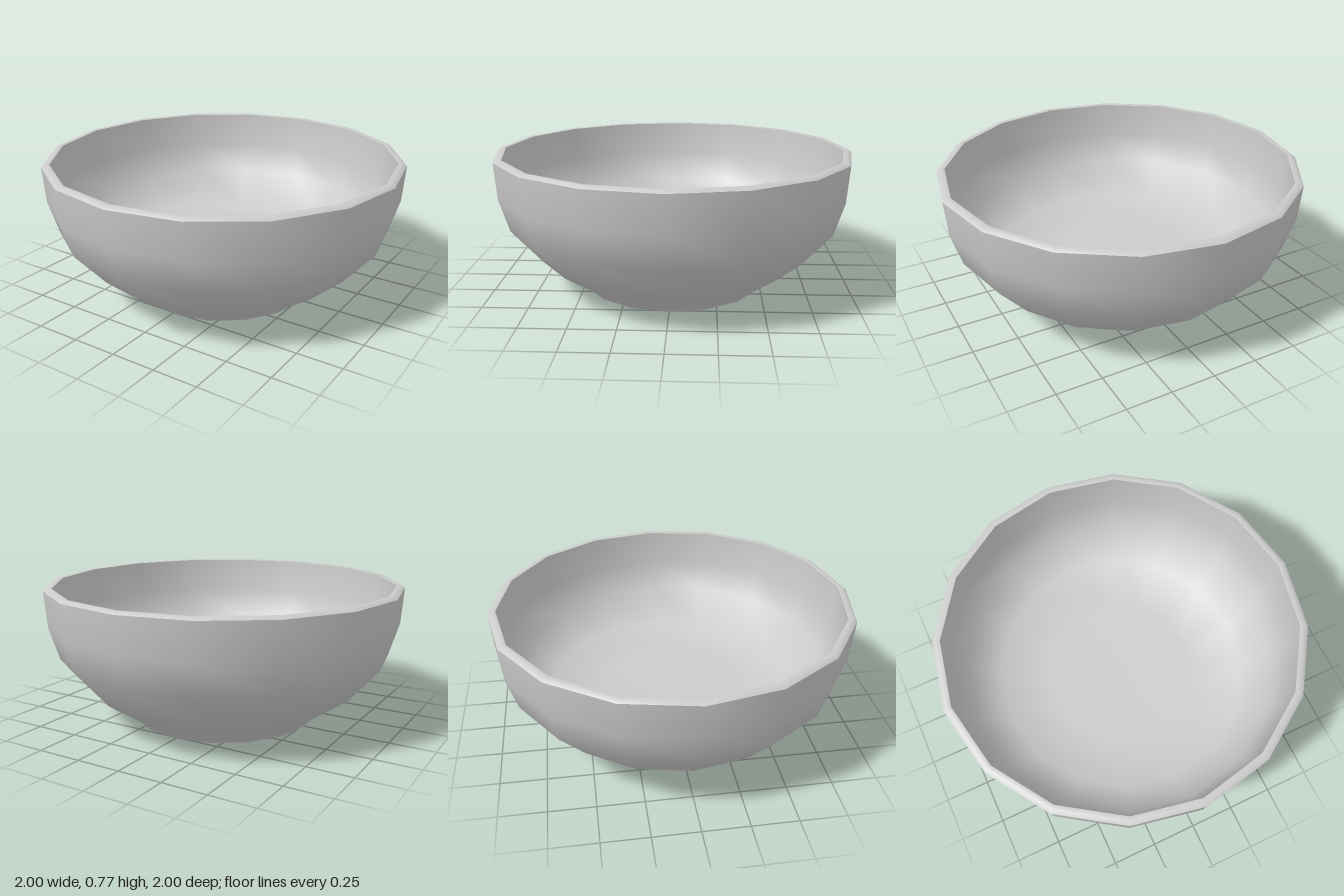
import * as THREE from 'three';

const SIDES = 16;

export function createModel() {
  const group = new THREE.Group();
  group.name = 'bowl';
  const material = new THREE.MeshStandardMaterial({ color: 0xcccccc });

  // Profiles run as [radius, height]; each lathe is smooth, creases fall between them
  const profiles = {
    footUnderside: [[0, 0.07], [0.3, 0.055], [0.46, 0.04], [0.495, 0]],
    footRing: [[0.495, 0], [0.515, 0]],
    outerWall: [[0.515, 0], [0.55, 0.04], [0.76, 0.185], [0.93, 0.38], [0.985, 0.56], [1, 0.76]],
    rim: [[1, 0.76], [0.98, 0.775], [0.955, 0.772]],
    innerWall: [[0.955, 0.772], [0.94, 0.57], [0.885, 0.4], [0.72, 0.225], [0.4, 0.205], [0, 0.2]],
  };

  for (const [name, points] of Object.entries(profiles)) {
    const profile = points.map(([r, y]) => new THREE.Vector2(r, y));
    const mesh = new THREE.Mesh(new THREE.LatheGeometry(profile, SIDES), material);
    mesh.name = name;
    group.add(mesh);
  }
  return group;
}
